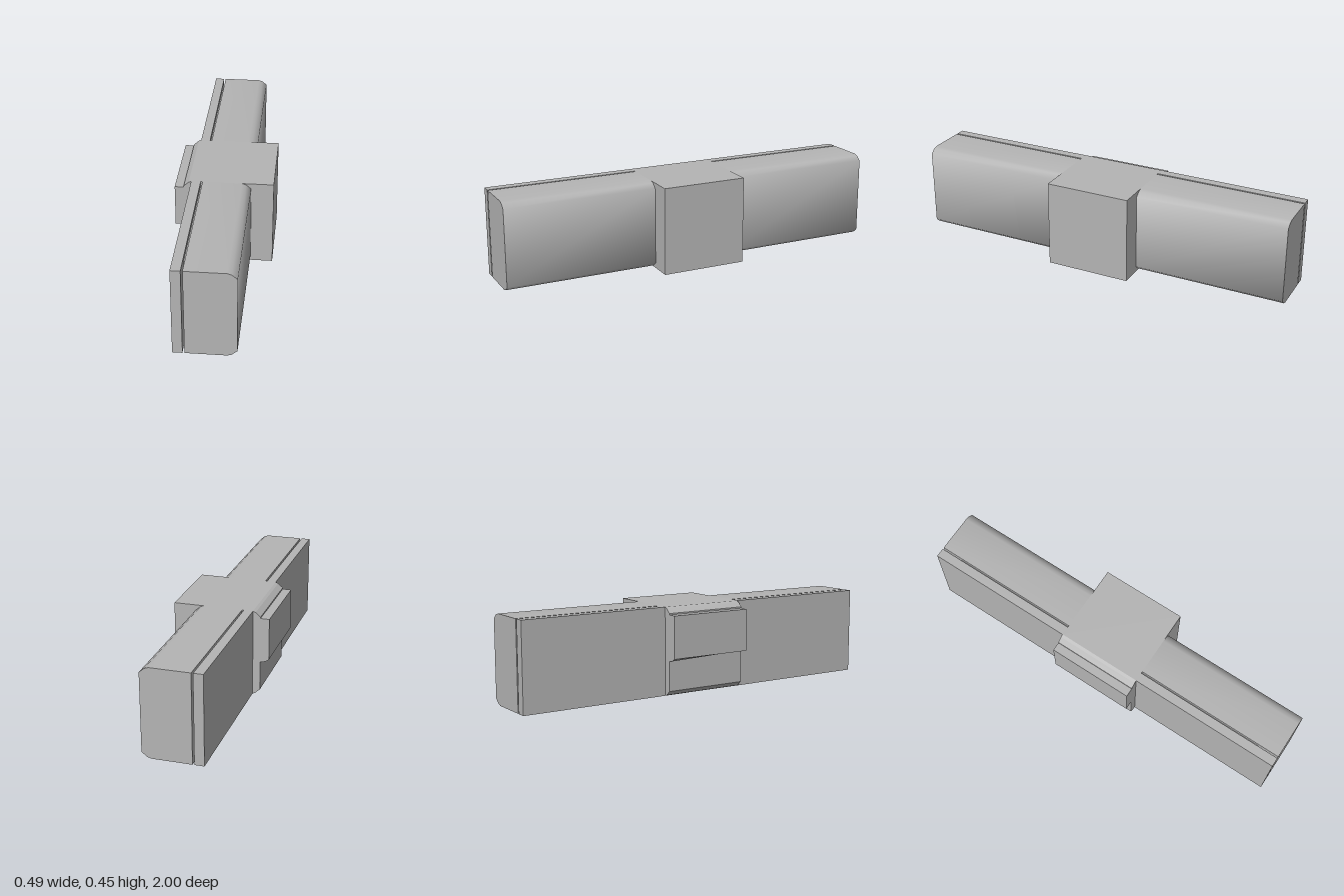
import * as THREE from 'three';
import { toCreasedNormals } from 'three/addons/utils/BufferGeometryUtils.js';

const H = 0.447;   // overall height
const HUB = 0.22;  // half depth of the central hub

// Extrude a front outline from z0 to z1
function prism(points, z0, z1) {
  const shape = new THREE.Shape(points.map(([x, y]) => new THREE.Vector2(x, y)));
  const geo = new THREE.ExtrudeGeometry(shape, { depth: z1 - z0, bevelEnabled: false });
  return geo.translate(0, 0, z0);
}

const rect = (x0, x1, y0, y1) => [[x0, y0], [x1, y0], [x1, y1], [x0, y1]];

// Loft between a back and a front section (both counter-clockwise, equal counts)
function loft(back, front, zBack, zFront) {
  const n = back.length;
  const pos = [], idx = [];
  back.forEach(([x, y]) => pos.push(x, y, zBack));
  front.forEach(([x, y]) => pos.push(x, y, zFront));
  for (let i = 0; i < n; i++) {
    const j = (i + 1) % n;
    idx.push(i, j, n + j, i, n + j, n + i);
  }
  for (const [a, b, c] of THREE.ShapeUtils.triangulateShape(
    front.map(([x, y]) => new THREE.Vector2(x, y)), [])) idx.push(n + a, n + b, n + c);
  for (const [a, b, c] of THREE.ShapeUtils.triangulateShape(
    back.map(([x, y]) => new THREE.Vector2(x, y)), [])) idx.push(a, c, b);
  const geo = new THREE.BufferGeometry();
  geo.setAttribute('position', new THREE.Float32BufferAttribute(pos, 3));
  geo.setIndex(idx);
  const flat = geo.toNonIndexed();
  flat.computeVertexNormals();
  return flat;
}

export function createModel() {
  const group = new THREE.Group();
  const grey = new THREE.MeshStandardMaterial({ color: 0xb4b4b4, side: THREE.DoubleSide });
  grey.name = 'grey';

  function add(name, geo) {
    const mesh = new THREE.Mesh(geo, grey);
    mesh.name = name;
    group.add(mesh);
  }

  // Arms: rounded body, thin web and cover plate on each side of the hub
  const body = [
    [-0.107, 0], [0.088, 0], [0.108, 0.006], [0.134, 0.028],
    [0.134, H - 0.028], [0.108, H - 0.006], [0.088, H], [-0.107, H],
  ];
  for (const [side, s] of [['front', 1], ['back', -1]]) {
    const span = (end) => (s > 0 ? [HUB, end] : [-end, -HUB]);
    add(side + 'ArmBody', toCreasedNormals(prism(body, ...span(1)), 0.95));
    add(side + 'ArmWeb', prism(rect(-0.116, -0.107, 0.025, 0.424), ...span(0.89)));
    add(side + 'ArmPlate', prism(rect(-0.163, -0.116, 0, H), ...span(1)));
  }

  // Central hub, bevelled on its right edges
  add('hub', prism([
    [-0.162, 0], [0.245, 0], [0.245, H], [-0.162, H],
    [-0.176, H - 0.006], [-0.201, H - 0.028], [-0.201, 0.028], [-0.176, 0.006],
  ], -HUB, HUB));

  // Raised pad whose underside swells towards the back
  const top = 0.412, low = 0.197;
  add('sidePad', loft(
    [[-0.201, top], [-0.246, top], [-0.246, low], [-0.226, 0.184], [-0.201, 0.179]],
    [[-0.201, top], [-0.246, top], [-0.246, low], [-0.226, low], [-0.201, low]],
    -HUB, HUB));

  return group;
}
